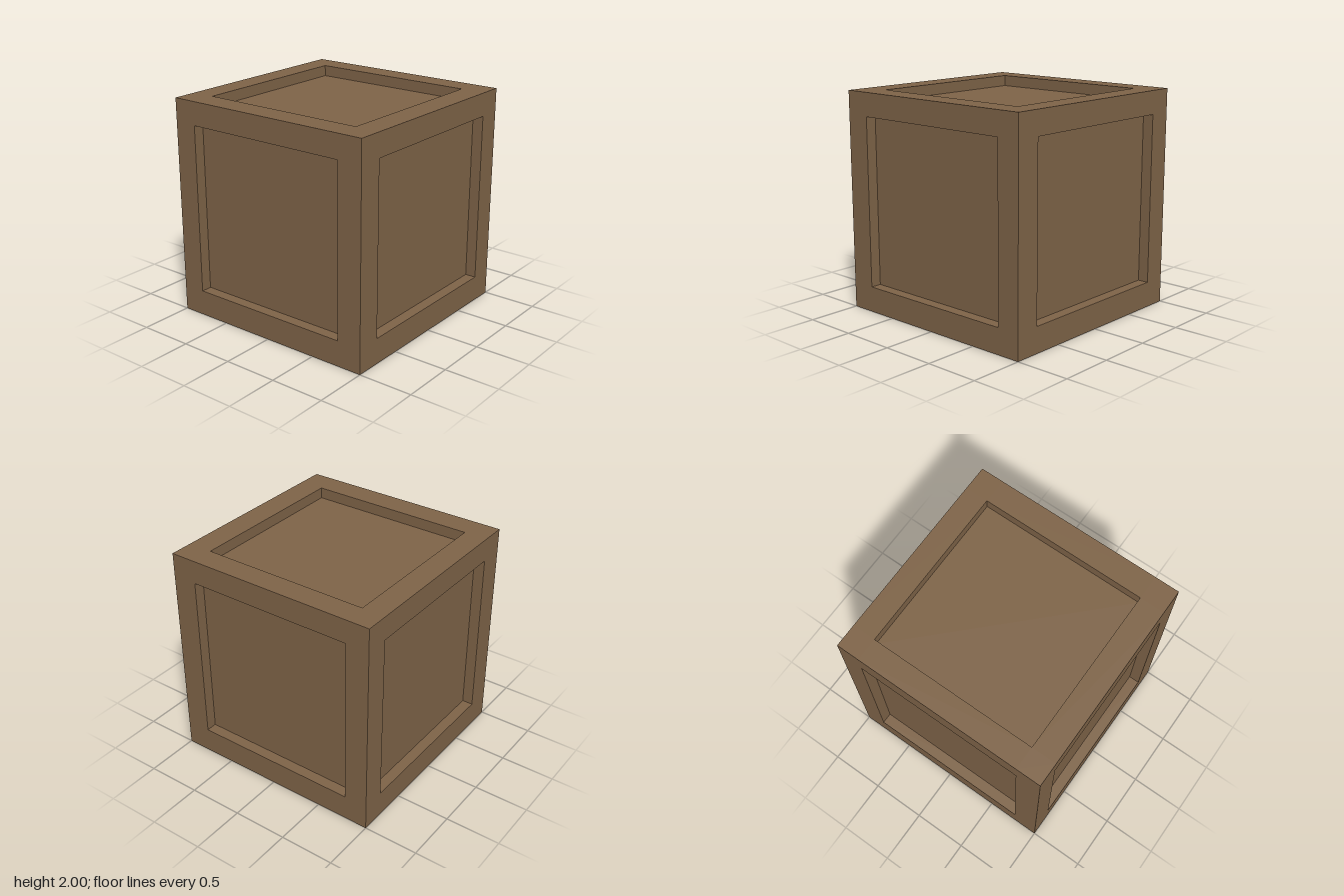
import * as THREE from 'three';

export function createModel() {
  const crate = new THREE.Group();
  crate.name = 'crate';
  const wood = new THREE.MeshStandardMaterial({ color: 0x7f6448 });
  wood.name = 'brown wood';

  // Adds a box spanning [min, max] on each axis
  function addBox(name, x, y, z) {
    const spans = [x, y, z];
    const size = spans.map(([a, b]) => b - a);
    const mid = spans.map(([a, b]) => (a + b) / 2);
    const mesh = new THREE.Mesh(new THREE.BoxGeometry(...size), wood);
    mesh.position.set(...mid);
    mesh.name = name;
    crate.add(mesh);
  }

  // Opening of the recessed panels on each axis, slightly off centre
  const openX = [-0.77, 0.785];
  const openY = [0.235, 1.786];
  const openZ = [-0.785, 0.77];
  const edges = ([lo, hi], min, max) => [[min, lo], [hi, max]];
  const sidesX = edges(openX, -1, 1);
  const sidesY = edges(openY, 0, 2);
  const sidesZ = edges(openZ, -1, 1);

  // Inner core whose faces form the six recessed panels
  addBox('panels', [-0.9, 0.9], [0.1, 1.9], [-0.9, 0.9]);

  // Four corner posts
  for (const x of sidesX) for (const z of sidesZ) addBox('cornerPost', x, [0, 2], z);

  // Horizontal rails between the posts, top and bottom
  for (const y of sidesY) {
    for (const z of sidesZ) addBox('crossRail', openX, y, z);
    for (const x of sidesX) addBox('sideRail', x, y, openZ);
  }
  return crate;
}
